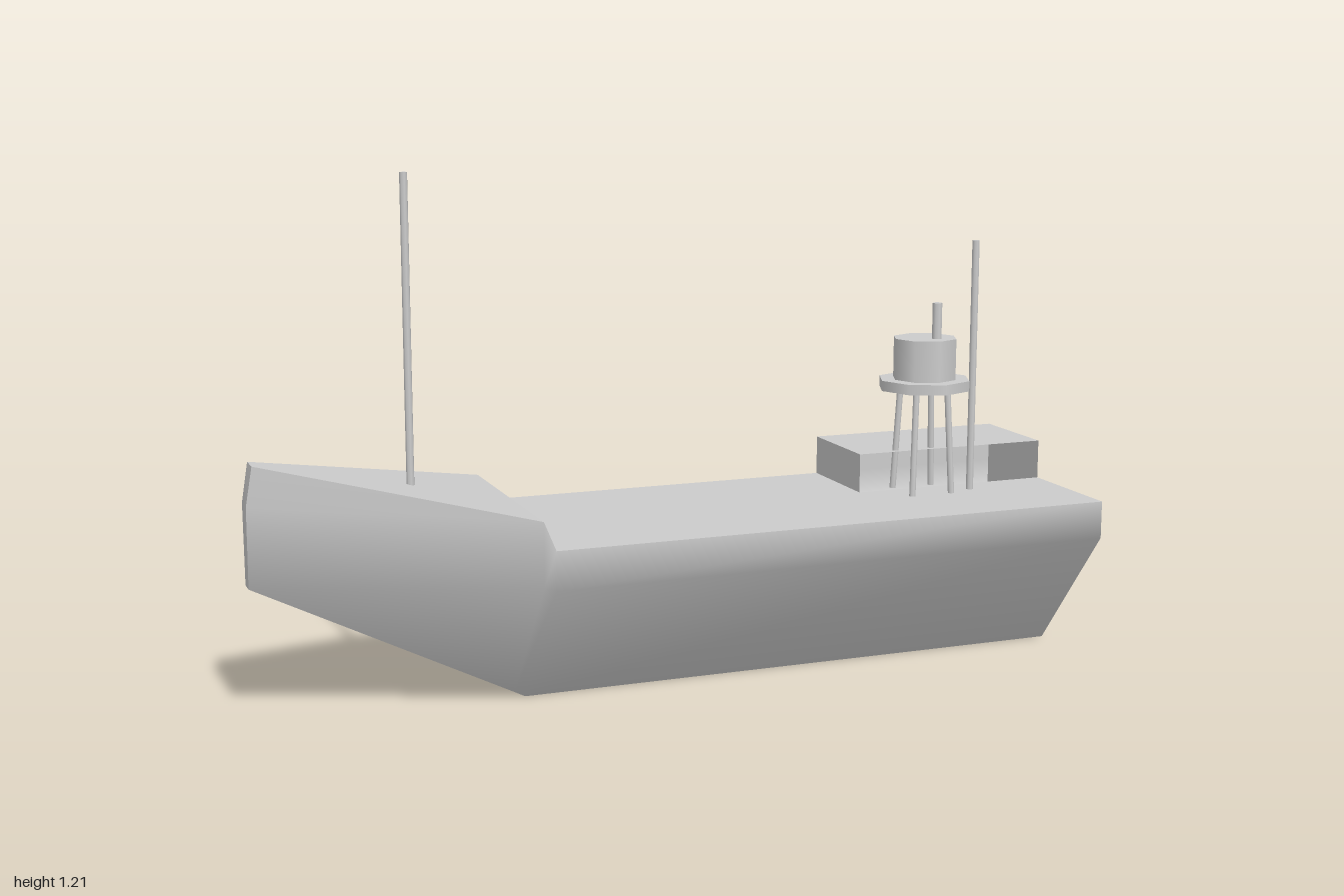
import * as THREE from 'three';

const material = new THREE.MeshStandardMaterial({ color: 0xcccccc, side: THREE.DoubleSide });

function add(parent, name, geometry) {
  const mesh = new THREE.Mesh(geometry, material);
  mesh.name = name;
  parent.add(mesh);
  return mesh;
}

// Surface through rows of points; normals are smooth inside one surface.
function surface(rows, flip = false) {
  const n = rows[0].length, index = [];
  for (let i = 0; i < rows.length - 1; i++) {
    for (let j = 0; j < n - 1; j++) {
      const a = i * n + j, b = a + n, c = b + 1, d = a + 1;
      index.push(...(flip ? [a, b, c, a, c, d] : [b, a, d, b, d, c]));
    }
  }
  const g = new THREE.BufferGeometry();
  g.setAttribute('position', new THREE.Float32BufferAttribute(rows.flat(2), 3));
  g.setIndex(index);
  g.computeVertexNormals();
  return g;
}

// Four corners, counter-clockwise from outside.
const panel = (a, b, c, d) => surface([[b, c], [a, d]]);

// Round rod between two points.
function rod(parent, name, from, to, radius) {
  const a = new THREE.Vector3(...from), b = new THREE.Vector3(...to);
  const dir = b.clone().sub(a);
  const mesh = add(parent, name, new THREE.CylinderGeometry(radius, radius, dir.length(), 8));
  mesh.position.copy(a).add(b).multiplyScalar(0.5);
  mesh.quaternion.setFromUnitVectors(new THREE.Vector3(0, 1, 0), dir.normalize());
  return mesh;
}

// Cross-sections from stern to bow: keel, chine and deck edge as [x, y, half width].
const sections = [
  [[1, 0, 0.022], [1, 0.315, 0.275], [1, 0.405, 0.275]],
  [[-0.375, 0, 0.022], [-0.375, 0.315, 0.275], [-0.375, 0.405, 0.275]],
  [[-0.4, 0.013, 0.022], [-0.4, 0.322, 0.265], [-0.4, 0.47, 0.265]],
  [[-1, 0.315, 0.02], [-1, 0.5, 0.025], [-0.985, 0.59, 0.028]],
];
const port = ([x, y, z]) => [x, y, -z];

function buildHull() {
  const hull = new THREE.Group();
  hull.name = 'hull';
  add(hull, 'hullSide', surface(sections));
  add(hull, 'hullSide', surface(sections.map(s => s.map(port)), true));

  // Keel, bow and raised foredeck
  for (let i = 0; i < 3; i++) {
    const a = sections[i][0], b = sections[i + 1][0];
    add(hull, 'keel', panel(b, port(b), port(a), a));
  }
  const bow = sections[3];
  add(hull, 'stem', surface([bow.map(port), bow].reverse(), true));
  for (let i = 1; i < 3; i++) {
    const a = sections[i][2], b = sections[i + 1][2];
    add(hull, i === 1 ? 'foredeckStep' : 'foredeck', panel(b, a, port(a), port(b)));
  }

  // Main deck, open beneath the raised side house
  const y = 0.405, top = 0.5, w = 0.275, inner = -0.025;
  add(hull, 'mainDeck', panel([-0.375, y, w], [0.5, y, w], [0.5, y, -w], [-0.375, y, -w]));
  add(hull, 'sternDeck', panel([0.5, y, w], [1, y, w], [1, y, inner], [0.5, y, inner]));

  // Side house: roof, outer wall and forward wall
  add(hull, 'houseRoof', panel([0.5, top, inner], [1, top, inner], [1, top, -w], [0.5, top, -w]));
  add(hull, 'houseOuterWall', panel([1, y, -w], [0.5, y, -w], [0.5, top, -w], [1, top, -w]));
  add(hull, 'houseFrontWall', panel([0.5, y, -w], [0.5, y, inner], [0.5, top, inner], [0.5, top, -w]));

  // Transom including the end of the side house
  const outline = [[-0.022, 0], [0.022, 0], [w, 0.315], [w, top], [-inner, top], [-inner, y], [-w, y], [-w, 0.315]];
  const shape = new THREE.Shape(outline.map(p => new THREE.Vector2(...p)));
  const transom = add(hull, 'transom', new THREE.ShapeGeometry(shape));
  transom.rotation.y = Math.PI / 2;
  transom.position.x = 1;
  return hull;
}

function buildTower() {
  const tower = new THREE.Group();
  tower.name = 'watchTower';
  tower.position.set(0.655, 0, 0.005);
  for (const x of [-1, 1]) {
    for (const z of [-1, 1]) {
      rod(tower, 'towerLeg', [x * 0.053, 0.405, z * 0.053], [x * 0.042, 0.665, z * 0.042], 0.008);
    }
  }
  add(tower, 'platform', new THREE.CylinderGeometry(0.114, 0.114, 0.025, 8)).position.y = 0.672;
  add(tower, 'drum', new THREE.CylinderGeometry(0.079, 0.079, 0.1, 8)).position.y = 0.735;
  rod(tower, 'drumPipe', [0.017, 0.785, 0.028], [0.017, 0.872, 0.028], 0.012);
  return tower;
}

export function createModel() {
  const ship = new THREE.Group();
  ship.name = 'ship';
  ship.add(buildHull(), buildTower());
  rod(ship, 'foreMast', [-0.628, 0.505, -0.003], [-0.628, 1.213, -0.003], 0.009);
  rod(ship, 'aftMast', [0.773, 0.405, 0.033], [0.773, 1.02, 0.033], 0.009);
  return ship;
}
